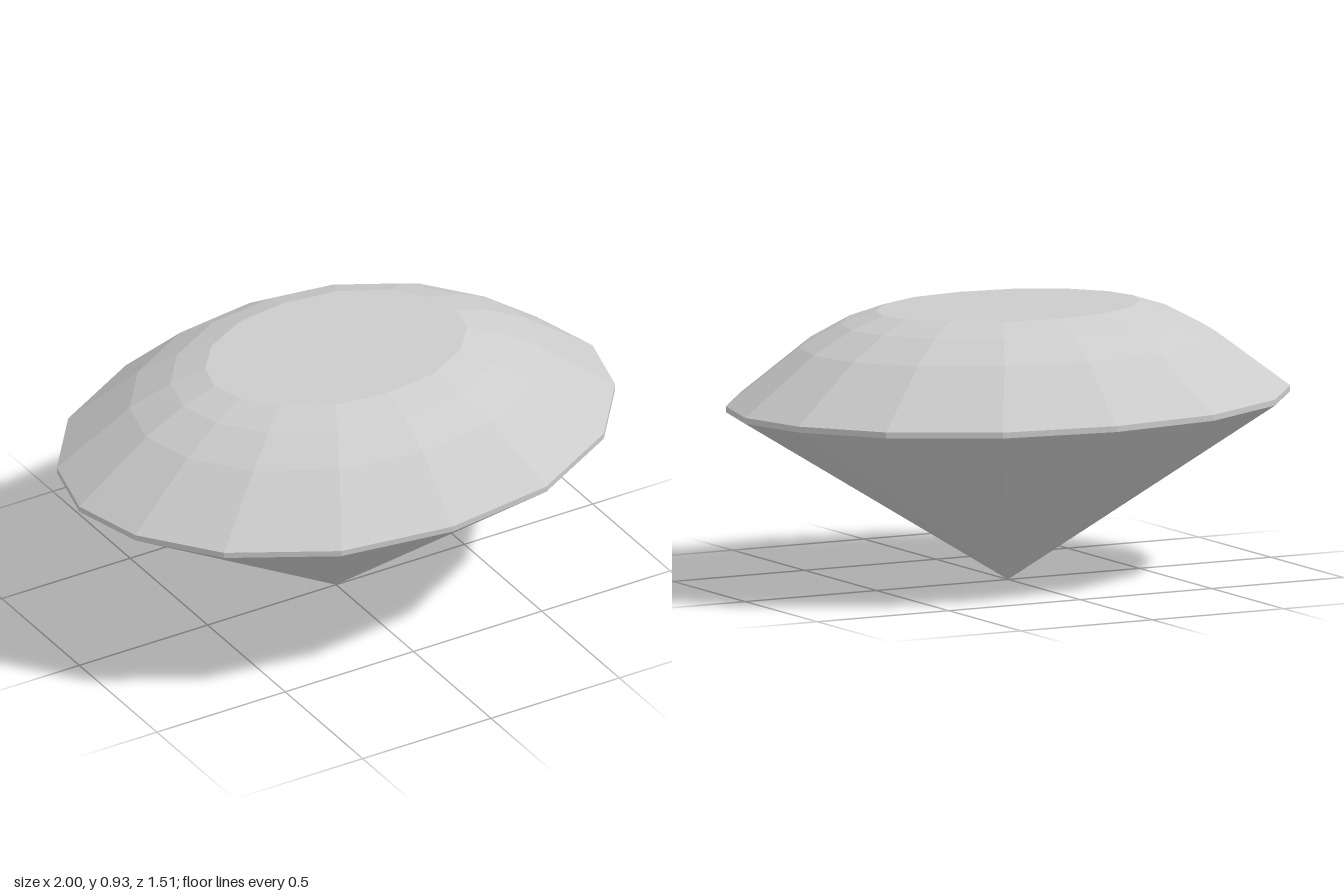
import * as THREE from 'three';

// One quarter of the sixteen-sided oval outline, at unit girdle size
const QUARTER = [[1, 0], [0.935, 0.253], [0.74, 0.503], [0.4, 0.695]];
const HALF_DEPTH = 0.753;

function ovalOutline() {
  const side = [...QUARTER, [0, HALF_DEPTH],
    ...QUARTER.slice(1).reverse().map(([x, z]) => [-x, z])];
  return [...side, ...side.map(([x, z]) => [-x, -z])];
}

// Facets between two scaled outlines; a scale of zero is a single point
function facetBand(lower, upper) {
  const outline = ovalOutline();
  const ring = ({ y, sx, sz }) => outline.map(([x, z]) => [x * sx, y, z * sz]);
  const a = ring(lower), b = ring(upper), positions = [];
  for (let i = 0; i < a.length; i++) {
    const j = (i + 1) % a.length;
    if (lower.sx > 0) positions.push(...a[i], ...b[i], ...a[j]);
    if (upper.sx > 0) positions.push(...a[j], ...b[i], ...b[j]);
  }
  const geometry = new THREE.BufferGeometry();
  geometry.setAttribute('position', new THREE.Float32BufferAttribute(positions, 3));
  geometry.computeVertexNormals();
  return geometry;
}

export function createModel() {
  const gem = new THREE.Group();
  gem.name = 'ovalGem';
  const material = new THREE.MeshStandardMaterial({ color: 0xcccccc, flatShading: true });

  // Levels from the pointed base to the flat table
  const levels = [
    { y: 0, sx: 0, sz: 0 },
    { y: 0.6, sx: 1, sz: 1 },
    { y: 0.62, sx: 1, sz: 1 },
    { y: 0.81, sx: 0.74, sz: 0.74 },
    { y: 0.885, sx: 0.595, sz: 0.585 },
    { y: 0.925, sx: 0.472, sz: 0.447 },
    { y: 0.925, sx: 0, sz: 0 },
  ];
  const names = ['pavilion', 'girdle', 'lowerCrown', 'middleCrown', 'upperCrown', 'table'];
  names.forEach((name, i) => {
    const mesh = new THREE.Mesh(facetBand(levels[i], levels[i + 1]), material);
    mesh.name = name;
    gem.add(mesh);
  });
  return gem;
}
